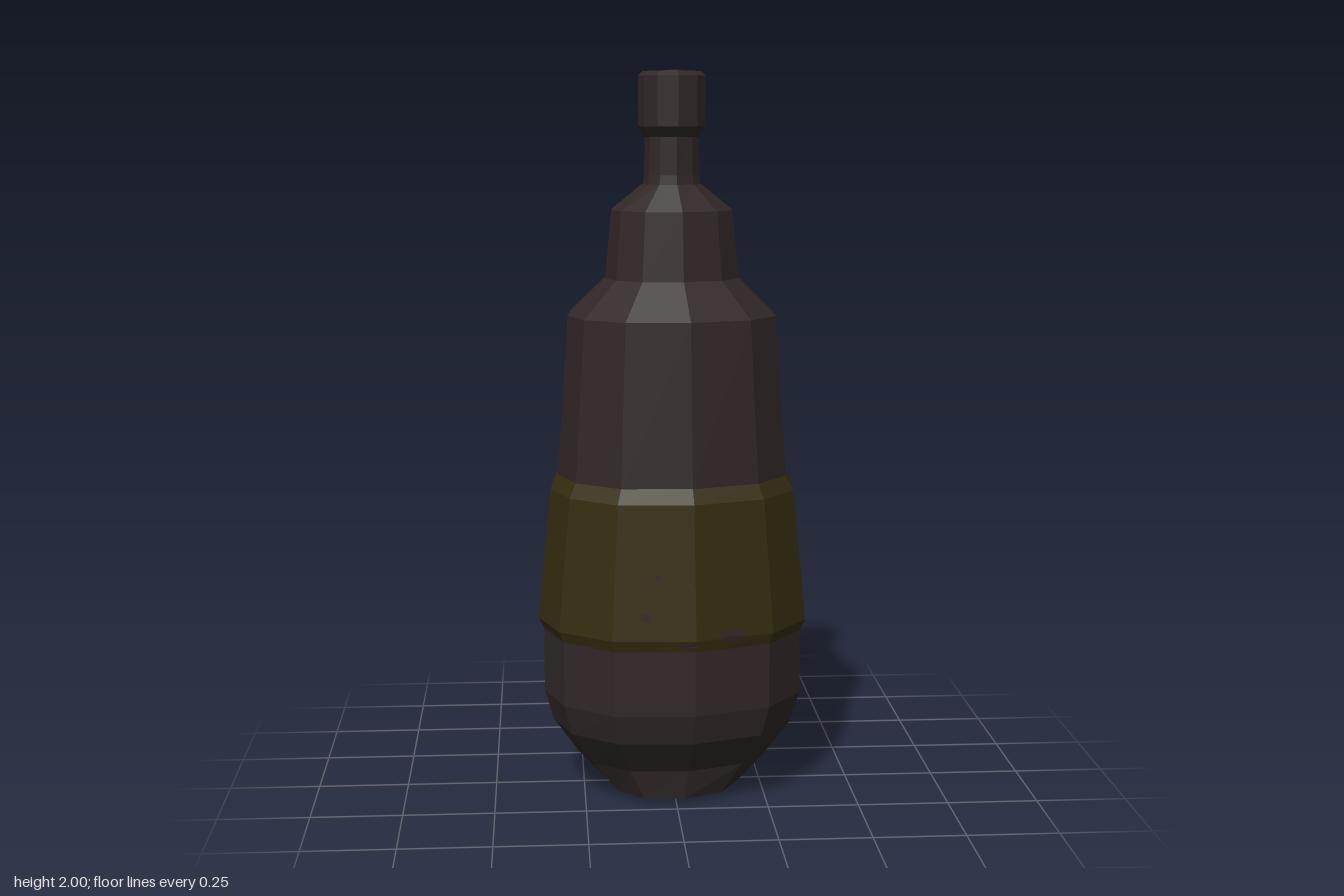
import * as THREE from 'three';

// Slightly skewed twelve-sided section, unit size; the second half mirrors the first
const half = [[-0.12, -1], [0.48, -0.96], [0.853, -0.636], [1, -0.152], [0.973, 0.355], [0.693, 0.779]];
const section = [...half, ...half.map(([x, z]) => [-x, -z])];
const N = section.length;

// Rings are [height, half width in x, half depth in z]
const baseRings = [[0, 0, 0], [0.015, 0.185, 0.21], [0.1, 0.265, 0.228], [0.2, 0.335, 0.3],
  [0.285, 0.36, 0.325], [0.47, 0.36, 0.322]];
const bandRings = [[0.455, 0.355, 0.32], [0.495, 0.375, 0.331], [0.86, 0.338, 0.302], [0.9, 0.318, 0.282]];
const bodyRings = [[0.89, 0.318, 0.282], [1.34, 0.287, 0.253], [1.44, 0.184, 0.165]];
const shoulderRings = [[1.44, 0.184, 0.165], [1.625, 0.166, 0.148], [1.695, 0.08, 0.088]];
const neckRings = [[1.69, 0.08, 0.086], [1.72, 0.076, 0.082], [1.83, 0.074, 0.082]];
const capRings = [[1.82, 0.074, 0.08], [1.85, 0.092, 0.104], [1.985, 0.092, 0.104], [1.997, 0.08, 0.09], [2, 0, 0]];

function geometryFrom(positions, index) {
  const g = new THREE.BufferGeometry();
  g.setAttribute('position', new THREE.Float32BufferAttribute(positions, 3));
  g.setIndex(index);
  g.computeVertexNormals();
  return g;
}

// Skin between successive rings
function loft(rings) {
  const p = [], index = [];
  for (const [y, rx, rz] of rings) for (const [x, z] of section) p.push(x * rx, y, z * rz);
  for (let r = 0; r < rings.length - 1; r++) {
    for (let i = 0; i < N; i++) {
      const a = r * N + i, b = r * N + (i + 1) % N;
      index.push(a, a + N, b, b, a + N, b + N);
    }
  }
  return geometryFrom(p, index);
}

// Point just outside a lofted wall; u counts section corners
function onWall(rings, u, y) {
  let r = 0;
  while (r < rings.length - 2 && y > rings[r + 1][0]) r++;
  const [y0, x0, z0] = rings[r], [y1, x1, z1] = rings[r + 1];
  const t = (y - y0) / (y1 - y0);
  const i = ((Math.floor(u) % N) + N) % N, f = u - Math.floor(u);
  const a = section[i], b = section[(i + 1) % N];
  const lift = 0.004;
  return [(a[0] + (b[0] - a[0]) * f) * (x0 + (x1 - x0) * t + lift), y,
    (a[1] + (b[1] - a[1]) * f) * (z0 + (z1 - z0) * t + lift)];
}

// Irregular thin fleck lying on a wall
function fleck(rings, u, y, du, dy) {
  const p = [...onWall(rings, u, y)], index = [], n = 9;
  for (let i = 0; i < n; i++) {
    const a = i / n * Math.PI * 2, k = 0.85 + 0.2 * Math.sin(i * 2.4 + u);
    p.push(...onWall(rings, u + Math.cos(a) * du * k, y + Math.sin(a) * dy * k));
    index.push(0, 1 + (i + 1) % n, 1 + i);
  }
  return geometryFrom(p, index);
}

export function createModel() {
  const group = new THREE.Group();
  const make = (name, color) => {
    const m = new THREE.MeshStandardMaterial({ color, flatShading: true, side: THREE.DoubleSide });
    m.name = name;
    return m;
  };
  const brown = make('dark brown', 0x312727);
  const olive = make('dark olive', 0x352d0f);
  const add = (name, geometry, material) => {
    const mesh = new THREE.Mesh(geometry, material);
    mesh.name = name;
    group.add(mesh);
    return mesh;
  };

  add('base', loft(baseRings), brown);
  add('band', loft(bandRings), olive);
  add('body', loft(bodyRings), brown);
  add('shoulder', loft(shoulderRings), brown);
  add('neck', loft(neckRings), brown);
  add('cap', loft(capRings), brown);

  // Worn flecks in the band: corner position, height, half width, half height
  const flecks = [
    [6.47, 0.67, 0.06, 0.01], [6.6, 0.56, 0.07, 0.014], [5.55, 0.502, 0.2, 0.022], [6.1, 0.48, 0.15, 0.012],
    [0.45, 0.62, 0.28, 0.022], [0.1, 0.575, 0.09, 0.022], [0.7, 0.56, 0.09, 0.014], [1.6, 0.88, 0.25, 0.012],
  ];
  for (const [u, y, du, dy] of flecks) add('wornFleck', fleck(bandRings, u, y, du, dy), brown);

  // Olive marks on the back of the neck and the top of the cap
  add('neckMark', fleck(neckRings, 0.5, 1.735, 0.45, 0.026), olive);
  const mark = add('capMark', new THREE.CylinderGeometry(1, 1, 0.004, 9), olive);
  mark.scale.set(0.023, 1, 0.031);
  mark.position.set(0.01, 1.999, -0.005);
  return group;
}
